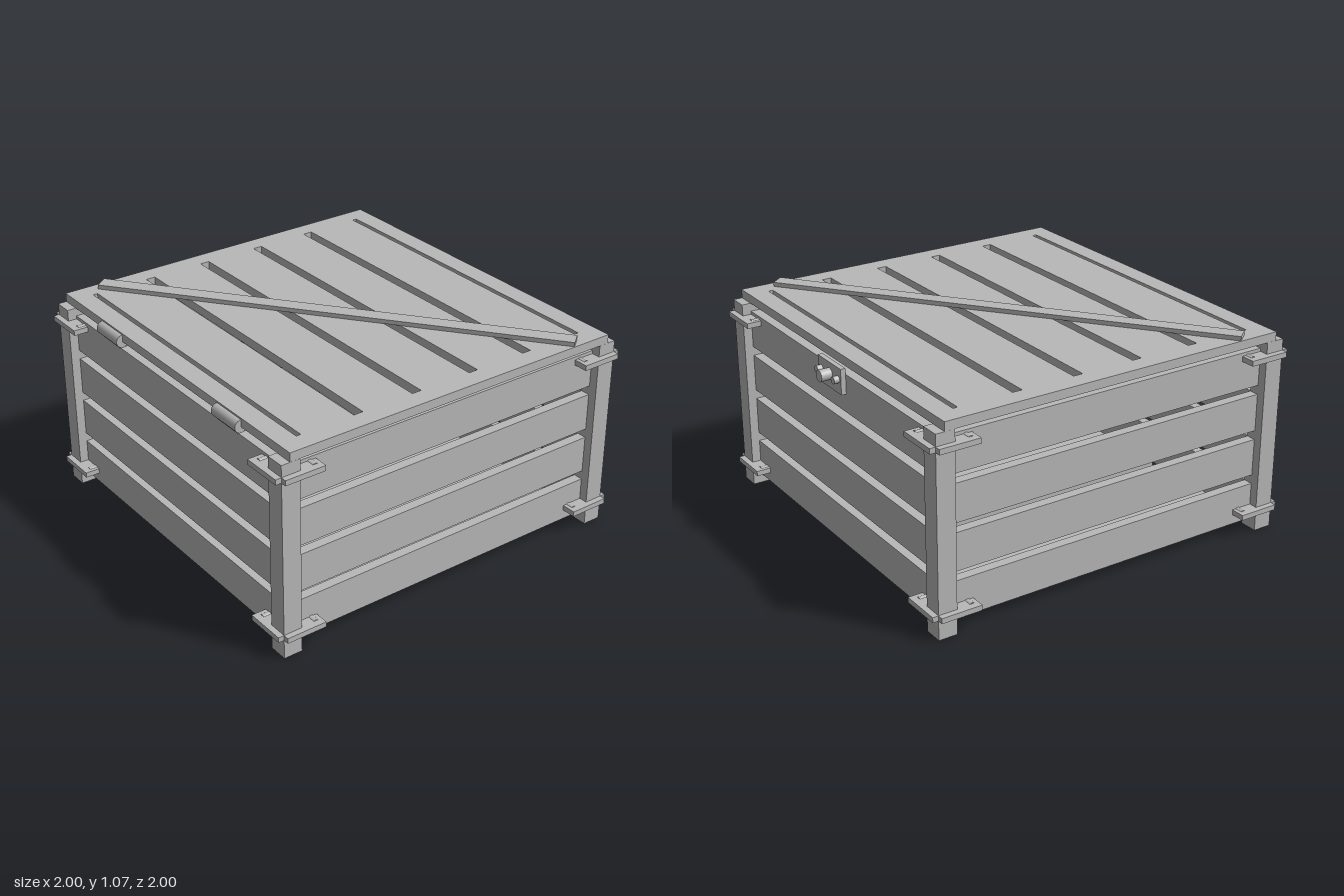
import * as THREE from 'three';

const grey = new THREE.MeshStandardMaterial({ color: 0xb8b8b8 });
grey.name = 'plain grey';

function add(parent, name, geometry, x = 0, y = 0, z = 0) {
  const mesh = new THREE.Mesh(geometry, grey);
  mesh.name = name;
  mesh.position.set(x, y, z);
  parent.add(mesh);
  return mesh;
}

// Box given by its minimum and maximum corners
function block(parent, name, [x0, y0, z0], [x1, y1, z1]) {
  return add(parent, name, new THREE.BoxGeometry(x1 - x0, y1 - y0, z1 - z0),
    (x0 + x1) / 2, (y0 + y1) / 2, (z0 + z1) / 2);
}

// Round pin lying along x or z
function pin(parent, name, axis, radius, length, x, y, z) {
  const g = new THREE.CylinderGeometry(radius, radius, length, 24);
  if (axis === 'x') g.rotateZ(Math.PI / 2);
  else g.rotateX(Math.PI / 2);
  return add(parent, name, g, x, y, z);
}

function rectangle(Type, x0, y0, x1, y1) {
  const p = new Type();
  p.moveTo(x0, y0).lineTo(x1, y0).lineTo(x1, y1).lineTo(x0, y1).closePath();
  return p;
}

export function createModel() {
  const crate = new THREE.Group();
  crate.name = 'crate';

  // Corner posts with two pairs of angled brackets each
  for (const sx of [-1, 1]) {
    for (const sz of [-1, 1]) {
      const corner = new THREE.Group();
      corner.name = 'corner';
      crate.add(corner);
      add(corner, 'cornerPost', new THREE.BoxGeometry(0.097, 1, 0.097), sx * 0.919, 0.5, sz * 0.919);
      for (const y of [0.114, 0.928]) {
        add(corner, 'bracketArm', new THREE.BoxGeometry(0.21, 0.027, 0.075), sx * 0.863, y, sz * 0.96);
        add(corner, 'bracketArm', new THREE.BoxGeometry(0.075, 0.027, 0.21), sx * 0.96, y, sz * 0.863);
        pin(corner, 'bracketBolt', 'z', 0.018, 0.045, sx * 0.79, y, sz * 0.94);
        pin(corner, 'bracketBolt', 'x', 0.018, 0.045, sx * 0.94, y, sz * 0.79);
      }
    }
  }

  // Wall slats, recessed between the posts
  for (let i = 0; i < 4; i++) {
    const y = 0.145 + i * 0.239;
    for (const s of [-1, 1]) {
      add(crate, 'wallSlat', new THREE.BoxGeometry(1.742, 0.192, 0.05), 0, y, s * 0.897);
      add(crate, 'sideSlat', new THREE.BoxGeometry(0.05, 0.192, 1.742), s * 0.897, y, 0);
    }
  }

  // Floor boards
  for (let i = -2; i <= 2; i++) {
    add(crate, 'floorBoard', new THREE.BoxGeometry(0.312, 0.05, 1.742), i * 0.348 - 0.003, 0.025, 0);
  }

  // Lid with open slots between its boards
  const lidShape = rectangle(THREE.Shape, -0.967, -0.922, 0.967, 0.922);
  for (const [a, b] of [[0.14, 0.19], [0.465, 0.515], [0.796, 0.82]]) {
    lidShape.holes.push(rectangle(THREE.Path, -0.87, a, 0.868, b));
    lidShape.holes.push(rectangle(THREE.Path, -0.87, -b, 0.868, -a));
  }
  const lidGeometry = new THREE.ExtrudeGeometry(lidShape, { depth: 0.045, bevelEnabled: false });
  lidGeometry.rotateX(-Math.PI / 2);
  add(crate, 'lid', lidGeometry, 0, 1, 0);

  // Diagonal brace on the lid
  const brace = add(crate, 'lidBrace', new THREE.BoxGeometry(2.387, 0.022, 0.08), 0, 1.056, 0);
  brace.rotation.y = Math.atan2(1.47, 1.88);

  // Hinges at the front
  for (const s of [-1, 1]) {
    pin(crate, 'hingeBarrel', 'x', 0.033, 0.19, s * 0.506, 1.004, 0.922);
    add(crate, 'hingeLeaf', new THREE.BoxGeometry(0.153, 0.025, 0.13), s * 0.506, 0.975, 0.865);
  }

  // Lock plate with knobs at the back
  block(crate, 'lockPlate', [-0.112, 0.86, -0.947], [0.108, 0.988, -0.922]);
  pin(crate, 'lockKnob', 'z', 0.029, 0.06, -0.003, 0.93, -0.973);
  for (const s of [-1, 1]) {
    pin(crate, 'lockRivet', 'z', 0.018, 0.035, s * 0.08 - 0.003, 0.93, -0.957);
  }

  return crate;
}
